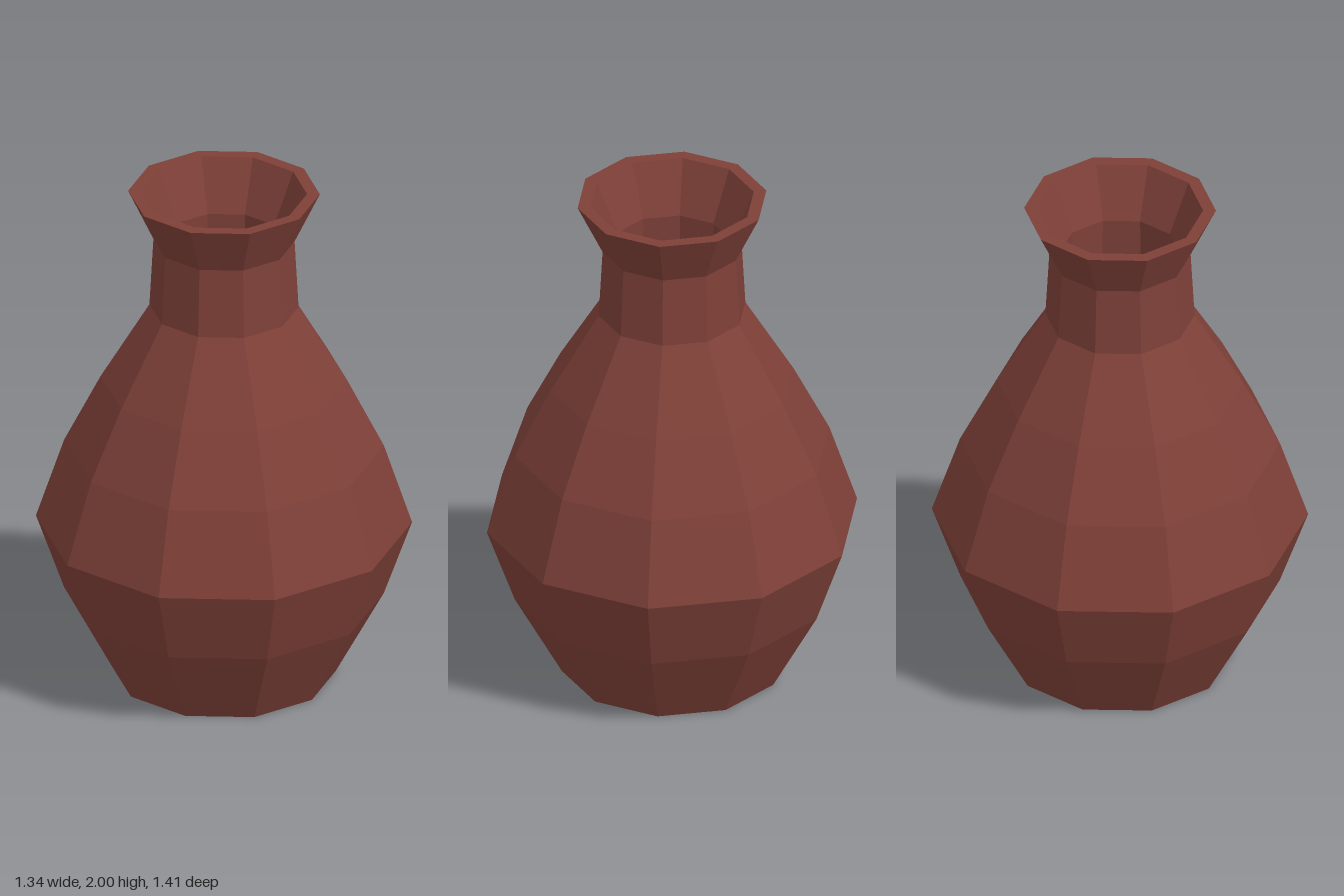
import * as THREE from 'three';

const SIDES = 10;

export function createModel() {
  const vase = new THREE.Group();
  vase.name = 'vase';

  const clay = new THREE.MeshStandardMaterial({ color: 0x7e4038 });
  clay.name = 'reddish brown clay';

  // Faceted ten-sided band turned from [radius, height] points
  function turn(name, profile) {
    const points = profile.map(([r, y]) => new THREE.Vector2(r, y));
    const geometry = new THREE.LatheGeometry(points, SIDES).toNonIndexed();
    geometry.computeVertexNormals();
    const mesh = new THREE.Mesh(geometry, clay);
    mesh.name = name;
    vase.add(mesh);
  }

  // Outside, from the foot upward
  turn('base', [[0, 0], [0.42, 0]]);
  turn('belly', [[0.42, 0], [0.6, 0.33], [0.706, 0.63]]);
  turn('shoulder', [[0.706, 0.63], [0.6, 0.95], [0.463, 1.22], [0.28, 1.525]]);
  turn('neck', [[0.28, 1.525], [0.265, 1.8]]);
  turn('flaredLip', [[0.265, 1.8], [0.36, 2]]);
  turn('rim', [[0.36, 2], [0.312, 2]]);

  // Inside, from the mouth down to the floor
  turn('innerLip', [[0.312, 2], [0.226, 1.8]]);
  turn('innerNeck', [[0.226, 1.8], [0.238, 1.525]]);
  turn('innerWall', [[0.238, 1.525], [0.42, 1.22], [0.555, 0.95], [0.66, 0.63], [0.555, 0.34], [0.39, 0.05]]);
  turn('innerFloor', [[0.39, 0.05], [0, 0.05]]);

  return vase;
}
